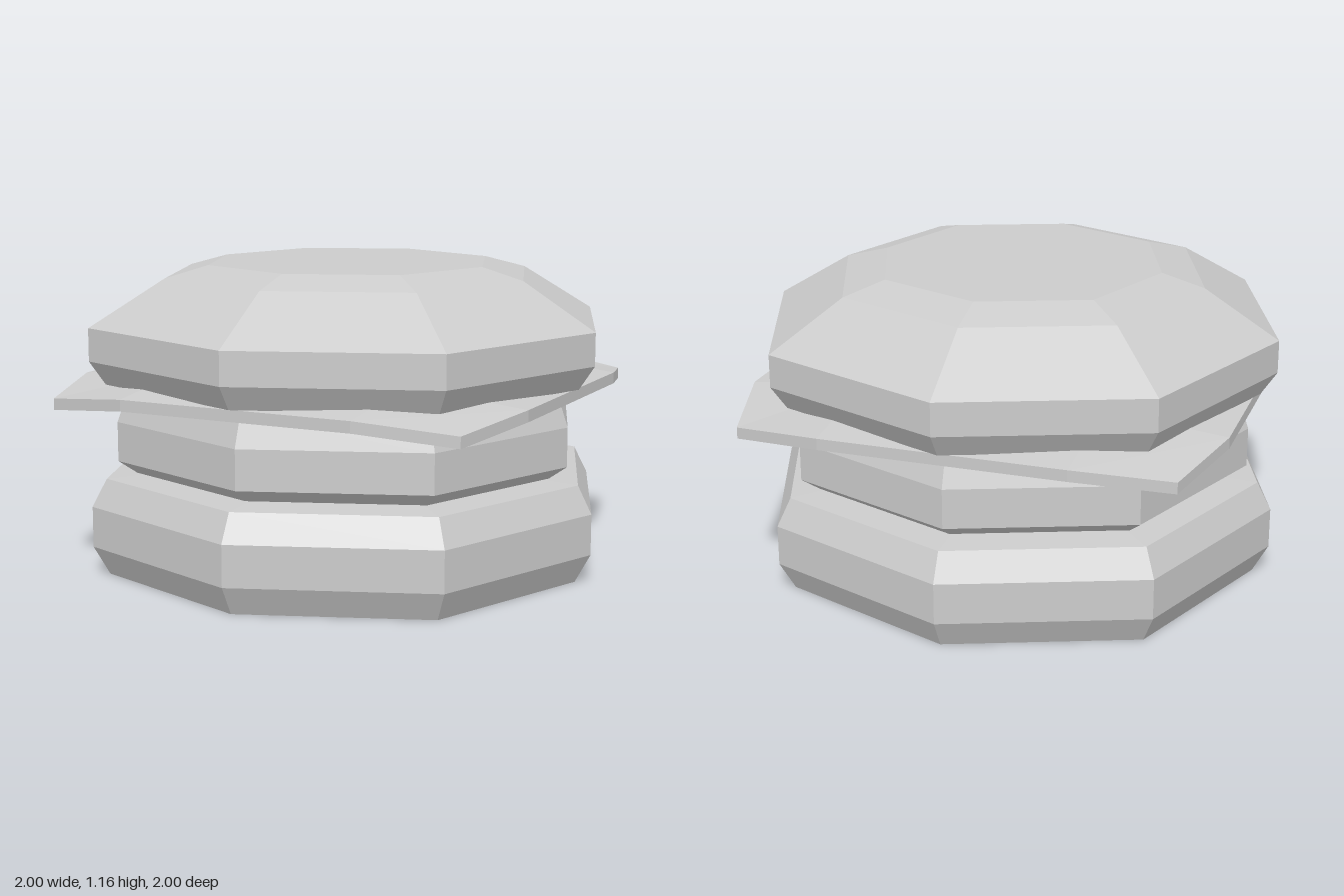
import * as THREE from 'three';

const material = new THREE.MeshStandardMaterial({ color: 0xcccccc, flatShading: true });

function addPart(group, name, geometry) {
  const flat = geometry.toNonIndexed();
  flat.computeVertexNormals();
  const mesh = new THREE.Mesh(flat, material);
  mesh.name = name;
  group.add(mesh);
}

// Eight-sided layer from a [radius, height] profile, with slightly pushed-out diagonals
function octagonLayer(profile) {
  const geometry = new THREE.LatheGeometry(profile.map(([r, y]) => new THREE.Vector2(r, y)), 8);
  const p = geometry.attributes.position;
  for (let i = 0; i < p.count; i++) {
    const x = p.getX(i), z = p.getZ(i);
    const k = Math.min(Math.abs(x), Math.abs(z)) > 0.01 ? 1.025 : 1;
    p.setXYZ(i, x * k, p.getY(i), z * k);
  }
  return geometry;
}

// Thin square slice, raised in the middle, with drooping edges and corners
function droopingSlice() {
  const thickness = 0.043;
  const geometry = new THREE.BoxGeometry(1, thickness, 1, 3, 1, 3);
  const p = geometry.attributes.position;
  for (let i = 0; i < p.count; i++) {
    const x = p.getX(i), z = p.getZ(i);
    const outerX = Math.abs(x) > 0.4, outerZ = Math.abs(z) > 0.4;
    const reach = outerX && outerZ ? 0.82 : 0.92;
    const top = outerX && outerZ ? 0.688 : outerX || outerZ ? 0.727 : 0.775;
    p.setXYZ(
      i,
      Math.sign(x) * (outerX ? reach : 0.46),
      top - (p.getY(i) > 0 ? 0 : thickness),
      Math.sign(z) * (outerZ ? reach : 0.46)
    );
  }
  return geometry;
}

export function createModel() {
  const group = new THREE.Group();
  group.name = 'burger';

  addPart(group, 'bottomBun', octagonLayer([
    [0, 0], [0.94, 0], [1, 0.11], [1, 0.265], [0.945, 0.37], [0.6, 0.388], [0, 0.388],
  ]));
  addPart(group, 'patty', octagonLayer([
    [0, 0.385], [0.83, 0.385], [0.9, 0.435], [0.9, 0.585], [0.86, 0.7], [0, 0.7],
  ]));
  addPart(group, 'cheeseSlice', droopingSlice());
  addPart(group, 'topBun', octagonLayer([
    [0, 0.73], [0.94, 0.73], [1, 0.82], [1, 0.945], [0.715, 1.12], [0.55, 1.165], [0, 1.165],
  ]));
  return group;
}
